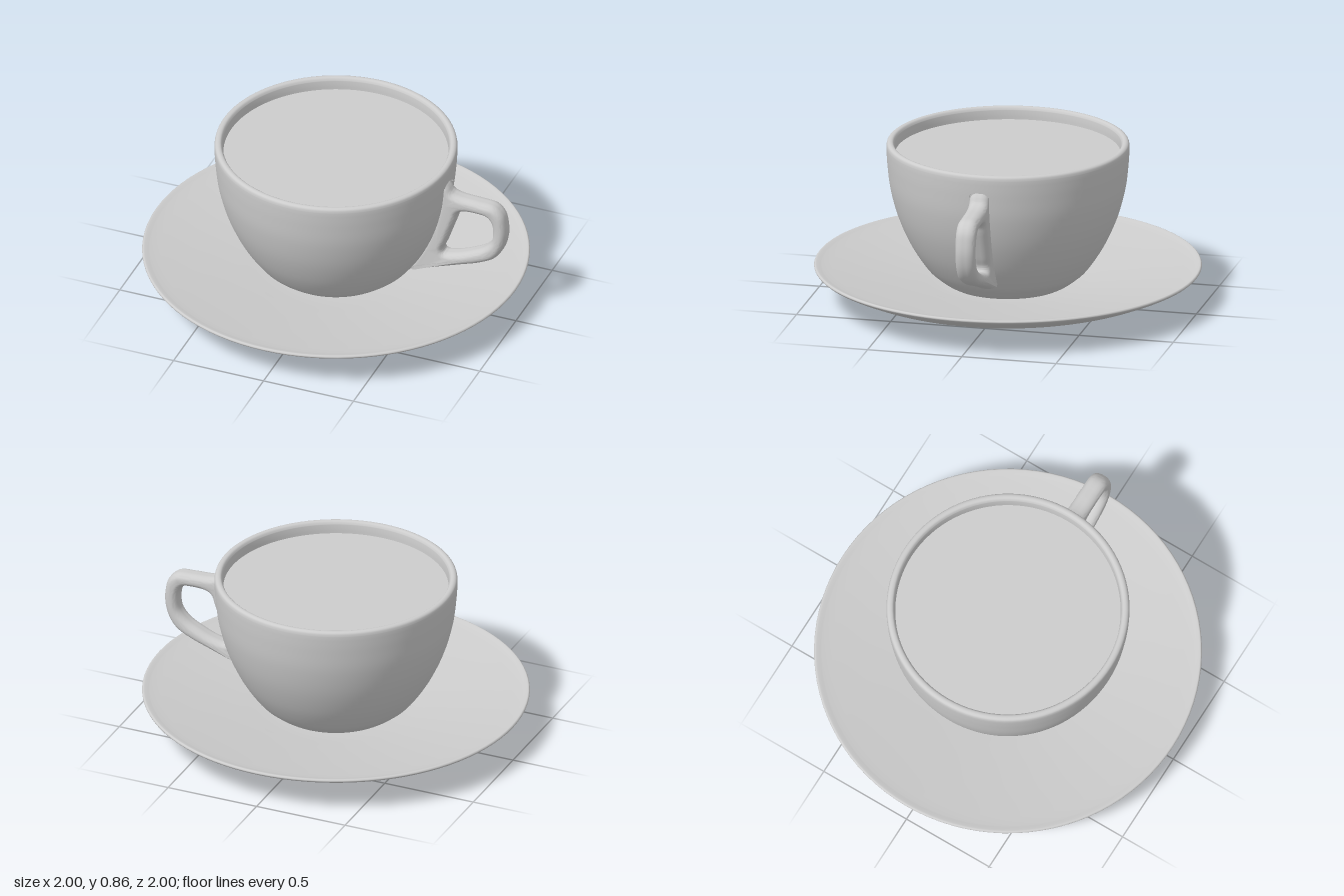
import * as THREE from 'three';
import { toCreasedNormals } from 'three/addons/utils/BufferGeometryUtils.js';

const vectors = (list) => list.map(([x, y]) => new THREE.Vector2(x, y));
const smooth = (list, n) => new THREE.SplineCurve(vectors(list)).getPoints(n);
const closedLoop = (list, n) =>
  new THREE.CatmullRomCurve3(list.map(([x, y]) => new THREE.Vector3(x, y, 0)), true, 'centripetal')
    .getPoints(n).slice(0, -1).map((p) => new THREE.Vector2(p.x, p.y));

export function createModel() {
  const group = new THREE.Group();
  const porcelain = new THREE.MeshStandardMaterial({ color: 0xcccccc });
  porcelain.name = 'grey porcelain';

  const add = (name, geometry) => {
    const mesh = new THREE.Mesh(geometry, porcelain);
    mesh.name = name;
    group.add(mesh);
    return mesh;
  };

  // Saucer: shallow underside, thin rounded lip, gently sloping top
  const saucer = [
    ...smooth([[0, 0], [0.22, 0.002], [0.42, 0.013], [0.63, 0.05], [0.82, 0.105], [0.94, 0.155], [0.99, 0.18]], 30),
    ...smooth([[0.998, 0.187], [1, 0.193], [0.995, 0.2], [0.985, 0.2], [0.96, 0.193]], 12),
    ...smooth([[0.93, 0.187], [0.75, 0.158], [0.5, 0.122], [0.3, 0.1], [0, 0.095]], 20),
  ];
  add('saucer', new THREE.LatheGeometry(saucer, 96));

  // Cup: rounded bowl with a soft rim and an inner wall
  const cup = [
    ...smooth([[0, 0.085], [0.24, 0.087], [0.31, 0.105], [0.375, 0.15], [0.425, 0.2], [0.5, 0.315],
      [0.565, 0.46], [0.606, 0.61], [0.622, 0.74], [0.627, 0.82]], 48),
    ...smooth([[0.627, 0.835], [0.623, 0.852], [0.61, 0.86], [0.594, 0.857], [0.585, 0.842]], 14),
    ...smooth([[0.583, 0.82], [0.575, 0.72], [0.53, 0.47], [0.46, 0.32], [0.36, 0.2], [0.25, 0.15], [0, 0.14]], 30),
  ];
  add('cup', new THREE.LatheGeometry(cup, 96));

  // Drink: flat disc just below the rim
  const drink = add('drinkSurface', new THREE.CircleGeometry(0.581, 96));
  drink.rotation.x = -Math.PI / 2;
  drink.position.y = 0.795;

  // Handle: rounded loop whose spine is sunk into the cup wall
  const shape = new THREE.Shape(closedLoop([
    [0.42, 0.205], [0.45, 0.2], [0.56, 0.24], [0.7, 0.29], [0.81, 0.33], [0.89, 0.375], [0.935, 0.44],
    [0.955, 0.52], [0.952, 0.59], [0.935, 0.65], [0.89, 0.692], [0.8, 0.702], [0.7, 0.708], [0.655, 0.722],
    [0.634, 0.752], [0.615, 0.772], [0.6, 0.75], [0.587, 0.65], [0.55, 0.51], [0.5, 0.37], [0.44, 0.265],
  ], 120));
  shape.holes.push(new THREE.Path(closedLoop([
    [0.612, 0.345], [0.604, 0.362], [0.622, 0.41], [0.65, 0.49], [0.675, 0.56], [0.692, 0.607], [0.72, 0.625],
    [0.8, 0.63], [0.85, 0.622], [0.874, 0.59], [0.882, 0.53], [0.872, 0.475], [0.83, 0.427], [0.76, 0.388],
    [0.68, 0.356],
  ], 90)));
  const depth = 0.02;
  const loop = new THREE.ExtrudeGeometry(shape, {
    depth, bevelEnabled: true, bevelThickness: 0.042, bevelSize: 0.032, bevelOffset: -0.032, bevelSegments: 7,
  });
  loop.translate(0, 0, -depth / 2);
  add('handle', toCreasedNormals(loop, 0.9));

  return group;
}
